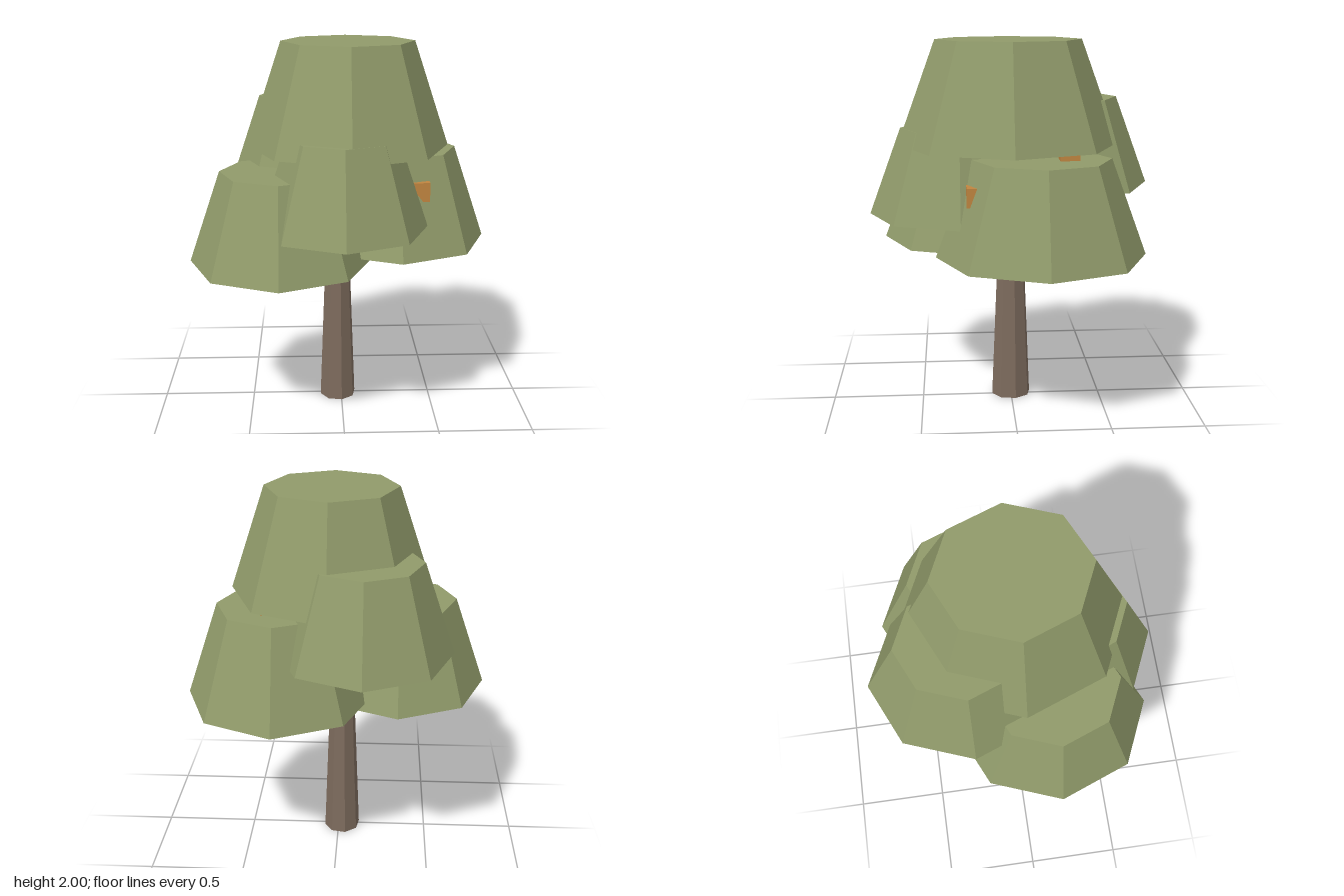
import * as THREE from 'three';

const leaf = new THREE.MeshStandardMaterial({ name: 'leafGreen', color: 0x909a6a, flatShading: true, side: THREE.DoubleSide });
const bark = new THREE.MeshStandardMaterial({ name: 'barkBrown', color: 0x7d6b5d, flatShading: true });
const fruit = new THREE.MeshStandardMaterial({ name: 'fruitOrange', color: 0xc08540, flatShading: true });

const SQUASH = 0.91; // the whole tree is slightly narrower in x than in z

function add(group, geometry, material, name, x, y, z) {
  const mesh = new THREE.Mesh(geometry, material);
  mesh.name = name;
  mesh.position.set(x, y, z);
  group.add(mesh);
}

// Hollow eight-sided crown piece: sloped walls, flat top, open underneath
function crownGeometry(rBottom, rTop, height) {
  const profile = [[rBottom, 0], [rTop, height], [0, height]].map(([r, y]) => new THREE.Vector2(r, y));
  return new THREE.LatheGeometry(profile, 8).scale(SQUASH, 1, 1);
}

export function createModel() {
  const tree = new THREE.Group();
  tree.name = 'tree';

  // Tapered trunk running up into the crown
  const trunk = new THREE.CylinderGeometry(0.051, 0.11, 1.4, 8).rotateY(THREE.MathUtils.degToRad(12)).scale(SQUASH, 1, 1);
  add(tree, trunk, bark, 'trunk', -0.02, 0.7, 0);

  // Crown pieces: name, x, z, bottom y, top y, bottom radius, top radius
  const crowns = [
    ['topCrown', 0.035, 0.015, 1.45, 2.0, 0.59, 0.386],
    ['frontCrown', 0, 0.28, 1.07, 1.535, 0.485, 0.312],
    ['leftCrown', 0.305, -0.14, 0.9, 1.41, 0.55, 0.36],
    ['rightCrown', -0.325, 0.175, 0.86, 1.345, 0.532, 0.348],
    ['backCrown', -0.145, -0.26, 1.2, 1.68, 0.51, 0.33],
  ];
  for (const [name, x, z, y0, y1, r0, r1] of crowns) {
    add(tree, crownGeometry(r0, r1, y1 - y0), leaf, name, x, y0, z);
  }

  // Cube fruits hanging inside the crown
  const fruits = [
    [0.405, 1.24, 0.2], [0.33, 1.45, -0.275], [0.145, 0.94, -0.315], [0.4, 1.0, -0.12],
    [0.31, 1.05, 0.08], [-0.11, 1.25, -0.367], [-0.17, 0.95, 0.3], [-0.45, 0.95, 0.2],
  ];
  const cube = new THREE.BoxGeometry(0.1, 0.1, 0.1);
  fruits.forEach((p, i) => add(tree, cube, fruit, `fruit${i + 1}`, ...p));

  return tree;
}
